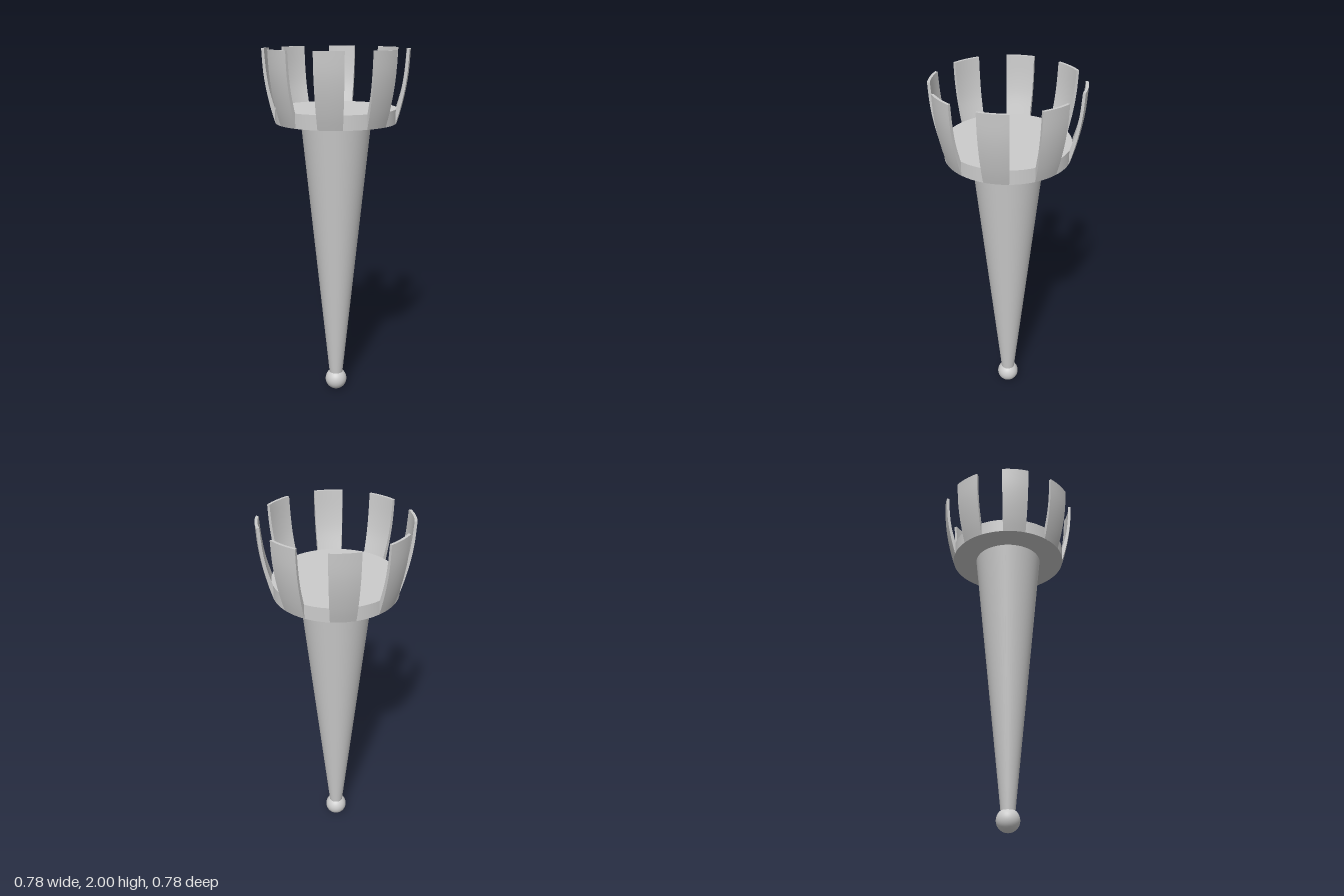
import * as THREE from 'three';
import { toCreasedNormals } from 'three/addons/utils/BufferGeometryUtils.js';

const PRONGS = 8;
const HALF_ANGLE = Math.PI / 16;

// Curved claw: a radial profile swept around the y axis through a small arc
function prongGeometry() {
  const outer = new THREE.SplineCurve([
    [0.328, 1.613], [0.35, 1.69], [0.372, 1.79], [0.386, 1.89], [0.392, 2],
  ].map(p => new THREE.Vector2(...p))).getPoints(14);
  const inner = new THREE.SplineCurve([
    [0.378, 2], [0.37, 1.89], [0.355, 1.79], [0.328, 1.69],
  ].map(p => new THREE.Vector2(...p))).getPoints(14);
  const shape = new THREE.Shape([
    new THREE.Vector2(0.3, 1.613), ...outer, ...inner, new THREE.Vector2(0.3, 1.68),
  ]);
  const geometry = new THREE.ExtrudeGeometry(shape, { depth: 1, steps: 8, bevelEnabled: false });

  // Bend the extrusion depth into an angle
  const pos = geometry.attributes.position;
  for (let i = 0; i < pos.count; i++) {
    const r = pos.getX(i);
    const a = (pos.getZ(i) * 2 - 1) * HALF_ANGLE;
    pos.setXYZ(i, r * Math.cos(a), pos.getY(i), r * Math.sin(a));
  }
  return toCreasedNormals(geometry, 0.6);
}

export function createModel() {
  const model = new THREE.Group();
  model.name = 'torch';
  const material = new THREE.MeshStandardMaterial({ color: 0xcccccc });

  const add = (name, geometry, y = 0) => {
    const mesh = new THREE.Mesh(geometry, material);
    mesh.name = name;
    mesh.position.y = y;
    model.add(mesh);
    return mesh;
  };

  // Ball at the foot
  add('ballTip', new THREE.SphereGeometry(0.063, 40, 24), 0.063);

  // Tapered handle
  add('handle', new THREE.CylinderGeometry(0.191, 0.039, 1.505, 64), 0.11 + 1.505 / 2);

  // Plate that carries the prongs
  add('plate', new THREE.CylinderGeometry(0.328, 0.328, 0.077, 96), 1.613 + 0.077 / 2);

  // Crown of prongs
  const geometry = prongGeometry();
  for (let i = 0; i < PRONGS; i++) {
    add(`prong${i + 1}`, geometry).rotation.y = (i / PRONGS) * Math.PI * 2;
  }
  return model;
}
